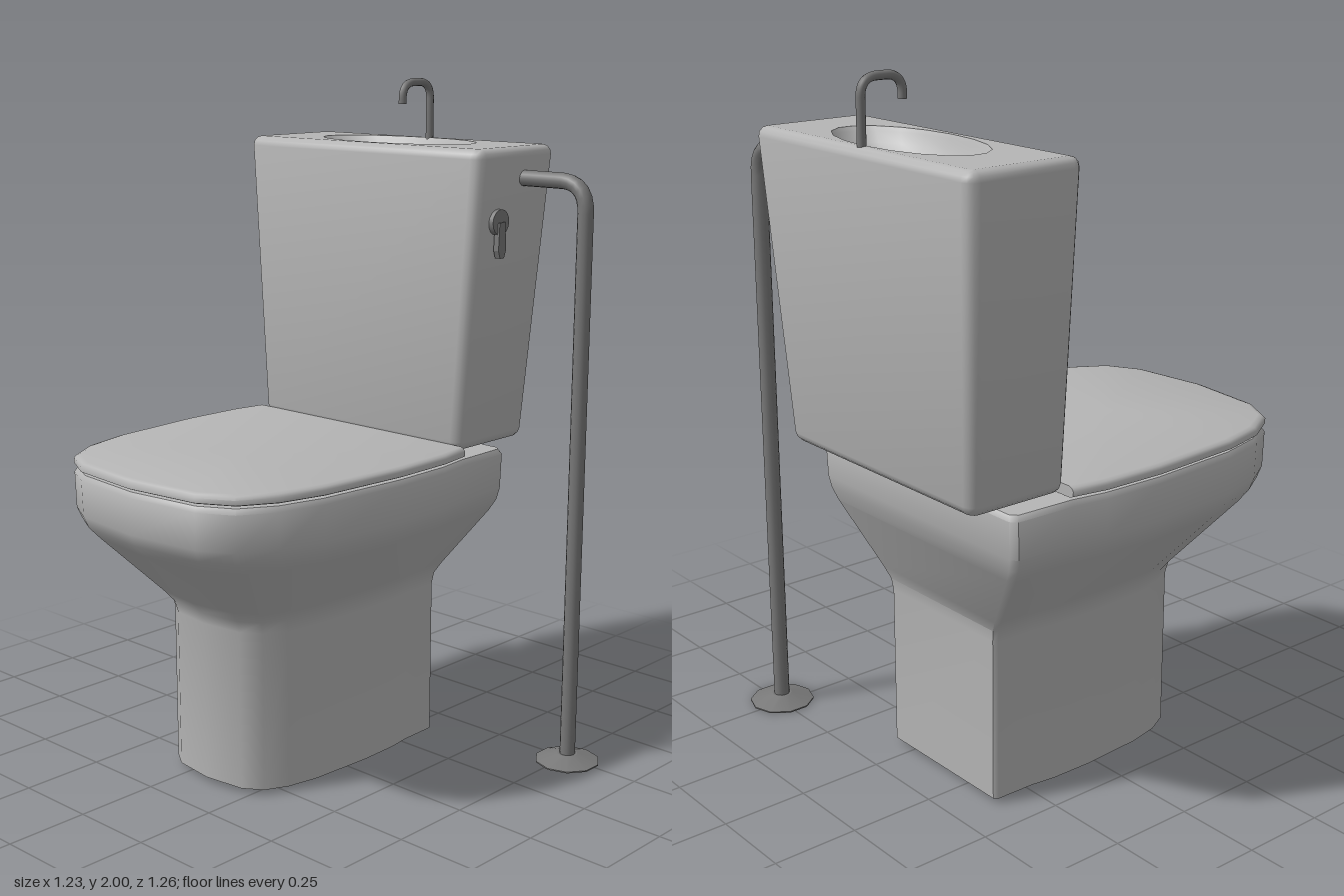
import * as THREE from 'three';
import { toCreasedNormals } from 'three/addons/utils/BufferGeometryUtils.js';

const CX = -0.156; // centre line of the bowl and tank

// Skin through closed loops stacked upwards, with optional flat ends
function loft(loops, capBottom = true, capTop = true) {
  const n = loops[0].length, pos = [], index = [];
  loops.forEach(loop => loop.forEach(p => pos.push(...p)));
  for (let i = 0; i < loops.length - 1; i++) {
    for (let k = 0; k < n; k++) {
      const a = i * n + k, b = i * n + (k + 1) % n;
      index.push(a, a + n, b, b, a + n, b + n);
    }
  }
  const cap = (row, up) => {
    const c = pos.length / 3, loop = loops[row];
    pos.push(...[0, 1, 2].map(j => loop.reduce((s, p) => s + p[j], 0) / n));
    for (let k = 0; k < n; k++) {
      const a = row * n + k, b = row * n + (k + 1) % n;
      if (up) index.push(c, b, a); else index.push(c, a, b);
    }
  };
  if (capBottom) cap(0, false);
  if (capTop) cap(loops.length - 1, true);
  const g = new THREE.BufferGeometry();
  g.setAttribute('position', new THREE.Float32BufferAttribute(pos, 3));
  g.setIndex(index);
  return toCreasedNormals(g, 0.8);
}

// Half outline from back to front: half width and position along the depth (0..1)
const BOWL = [[0.90, 0], [0.94, 0.015], [0.952, 0.177], [0.99, 0.273], [1, 0.445], [0.952, 0.709],
  [0.874, 0.836], [0.741, 0.927], [0.52, 0.977], [0, 1]];
const LID = [[0.95, 0], [0.99, 0.116], [1, 0.326], [0.952, 0.646],
  [0.874, 0.801], [0.741, 0.912], [0.52, 0.972], [0, 1]];

function outline(half, y, w, back, front) {
  const right = half.map(([x, t]) => [CX + x * w, y, back + t * (front - back)]);
  const left = right.slice(0, -1).reverse().map(([x, , z]) => [2 * CX - x, y, z]);
  return [...right, ...left];
}

// Rounded rectangle loop of the tapering tank at height y
const TANK = { bottom: 0.945, top: 1.82, bevel: 0.028 };
function tankLoop(y, inset) {
  const f = (y - TANK.bottom) / (TANK.top - TANK.bottom), r = 0.034 - inset;
  const hw = 0.402 + 0.06 * f - inset - r;
  const back = -0.585 - 0.046 * f + inset + r, front = -0.275 - inset - r;
  const corners = [[hw, front], [-hw, front], [-hw, back], [hw, back]];
  return corners.flatMap(([x, z], c) => [0, 1, 2, 3].map(k => {
    const t = (c + k / 3) * Math.PI / 2;
    return [CX + x + r * Math.cos(t), y, z + r * Math.sin(t)];
  }));
}

// Round pipe along straight runs joined by rounded bends
function pipe(points, bend, radius, sides) {
  const v = points.map(p => new THREE.Vector3(...p));
  const path = new THREE.CurvePath();
  let from = v[0];
  for (let i = 1; i < v.length - 1; i++) {
    const a = v[i].clone().add(v[i - 1].clone().sub(v[i]).setLength(bend));
    const b = v[i].clone().add(v[i + 1].clone().sub(v[i]).setLength(bend));
    path.add(new THREE.LineCurve3(from, a));
    path.add(new THREE.QuadraticBezierCurve3(a, v[i], b));
    from = b;
  }
  path.add(new THREE.LineCurve3(from, v[v.length - 1]));
  return new THREE.TubeGeometry(path, 90, radius, sides);
}

export function createModel() {
  const model = new THREE.Group();
  const ceramic = new THREE.MeshStandardMaterial({ color: 0xb5b5b5 });
  ceramic.name = 'ceramic';
  const metal = new THREE.MeshStandardMaterial({ color: 0x787878 });
  metal.name = 'metal';
  const add = (name, geometry, material, x = 0, y = 0, z = 0) => {
    const mesh = new THREE.Mesh(geometry, material);
    mesh.name = name;
    mesh.position.set(x, y, z);
    model.add(mesh);
    return mesh;
  };

  // Pedestal flaring into the bowl: height, half width, back, front
  add('bowl', loft([
    [0.015, 0.25, -0.375, 0.365], [0.49, 0.25, -0.375, 0.365], [0.525, 0.256, -0.379, 0.375],
    [0.56, 0.279, -0.39, 0.405], [0.74, 0.419, -0.452, 0.58], [0.775, 0.441, -0.461, 0.612],
    [0.81, 0.45, -0.466, 0.627], [0.915, 0.452, -0.47, 0.63], [0.93, 0.442, -0.462, 0.62],
  ].map(l => outline(BOWL, ...l))), ceramic);

  // Lid with a rounded edge
  add('lid', loft([[0.936, 0.012], [0.941, 0], [0.955, 0], [0.963, 0.006], [0.967, 0.018]]
    .map(([y, i]) => outline(LID, y, 0.452 - i, -0.275, 0.63 - i))), ceramic);

  // Tank body with rounded edges
  const steps = [0, 1, 2, 3].map(k => k / 3 * Math.PI / 2);
  const r = TANK.bevel;
  const loops = [
    ...steps.map(t => tankLoop(TANK.bottom + r * (1 - Math.sin(t)), 0)
      && tankLoop(TANK.bottom + r * (1 - Math.cos(t)), r * (1 - Math.sin(t)))),
    ...steps.map(t => tankLoop(TANK.top - r * (1 - Math.sin(t)), r * (1 - Math.cos(t)))),
  ];
  add('tank', loft(loops, true, false), ceramic);
  add('tankCoupling', new THREE.CylinderGeometry(0.08, 0.08, 0.04, 16), ceramic, CX, 0.935, -0.38);

  // Tank top with an oval opening
  const RX = 0.284, RZ = 0.138, BZ = -0.457, N = 18;
  const top = new THREE.Shape(loops[loops.length - 1].map(([x, , z]) => new THREE.Vector2(x, -z)));
  const oval = Array.from({ length: N }, (_, k) => {
    const t = k / N * Math.PI * 2;
    return new THREE.Vector2(CX + RX * Math.sin(t), -(BZ + RZ * Math.cos(t)));
  });
  top.holes.push(new THREE.Path(oval));
  add('tankTop', new THREE.ShapeGeometry(top).rotateX(-Math.PI / 2), ceramic, 0, TANK.top, 0);

  // Hand basin sunk into the tank top
  const basin = [[1, 0], [0.96, -0.012], [0.88, -0.04], [0.75, -0.068], [0.55, -0.088], [0.3, -0.098], [0, -0.1]]
    .map(p => new THREE.Vector2(...p));
  add('basin', new THREE.LatheGeometry(basin, N).scale(RX, 1, RZ), ceramic, CX, TANK.top, BZ);
  add('drain', new THREE.CylinderGeometry(0.026, 0.026, 0.008, 16), metal, CX, TANK.top - 0.095, -0.447);

  // Gooseneck tap
  const tapEnd = 1.925;
  add('tap', pipe([[CX, 1.8, -0.603], [CX, 1.988, -0.603], [CX, 1.988, -0.476], [CX, tapEnd, -0.476]],
    0.05, 0.012, 10), metal);
  add('tapMouth', new THREE.CircleGeometry(0.012, 10).rotateX(Math.PI / 2), metal, CX, tapEnd, -0.476);

  // Supply pipe and its floor flange
  add('supplyPipe', pipe([[0.27, 1.73, -0.488], [0.517, 1.73, -0.488], [0.517, 0.004, -0.488]],
    0.085, 0.023, 12), metal);
  add('floorFlange', new THREE.CylinderGeometry(0.03, 0.097, 0.02, 10), metal, 0.517, 0.014, -0.488);
  add('flangeBase', new THREE.CylinderGeometry(0.097, 0.097, 0.004, 10), metal, 0.517, 0.002, -0.488);

  // Flush lever on the left side: round hub and a flared handle
  add('leverHub', new THREE.CylinderGeometry(0.037, 0.037, 0.04, 16).rotateZ(Math.PI / 2), metal, 0.287, 1.612, -0.376);
  const handle = new THREE.Shape([[-0.013, 0], [-0.017, -0.08], [-0.009, -0.102], [0.009, -0.102],
    [0.017, -0.08], [0.013, 0]].map(p => new THREE.Vector2(...p)));
  add('leverHandle', new THREE.ExtrudeGeometry(handle, { depth: 0.018, bevelEnabled: false })
    .rotateY(Math.PI / 2), metal, 0.295, 1.612, -0.376);

  return model;
}
